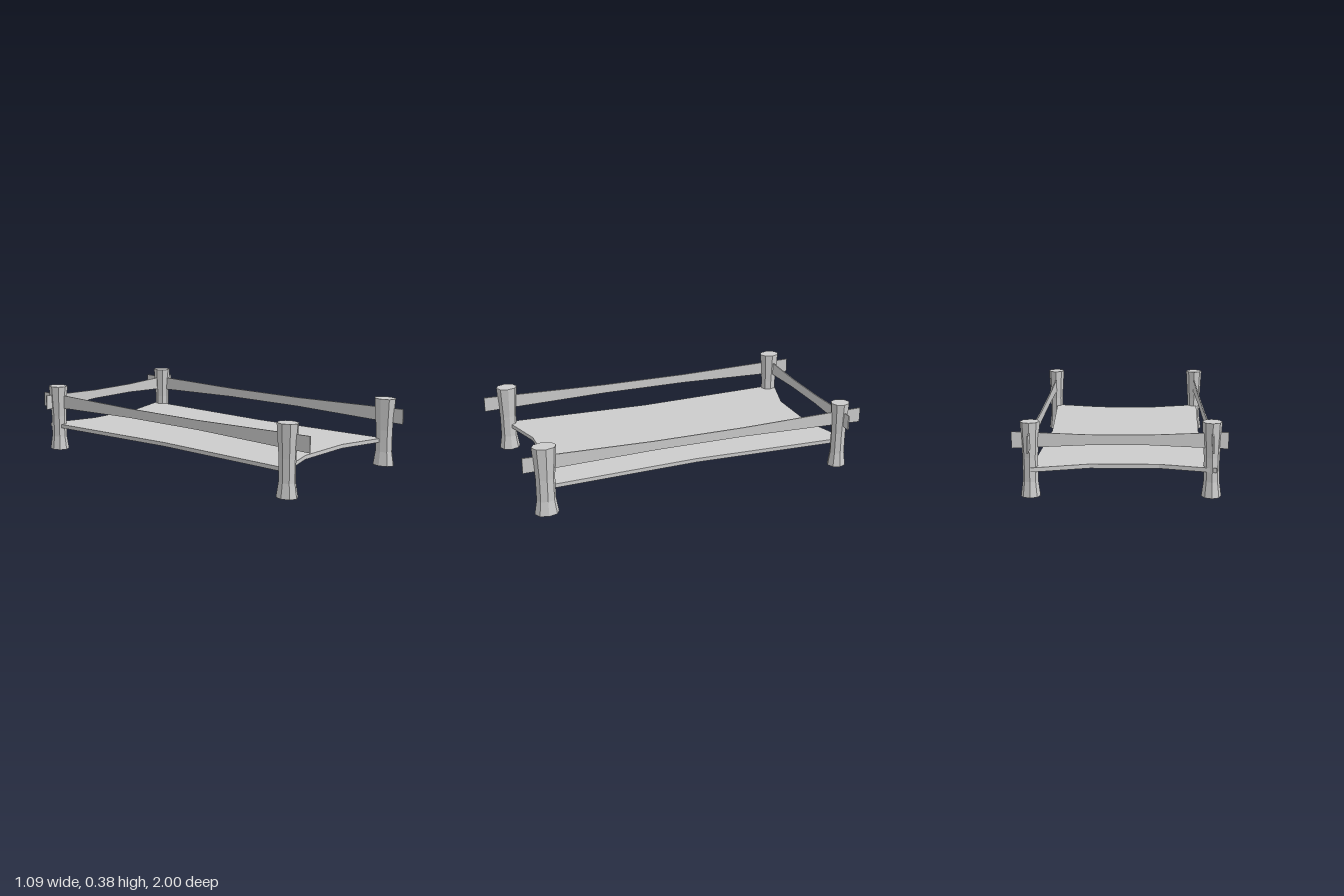
import * as THREE from 'three';

const material = new THREE.MeshStandardMaterial({ color: 0xcccccc, flatShading: true });

function addMesh(parent, name, geometry) {
  const mesh = new THREE.Mesh(geometry, material);
  mesh.name = name;
  parent.add(mesh);
  return mesh;
}

// Eight-sided post, pinched at the waist; rx and rz are its half widths
function addPost(parent, name, x, z, rx, rz) {
  const profile = [[0, 0], [1, 0], [0.79, 0.08], [0.79, 0.205], [1, 0.385], [0, 0.385]]
    .map(([r, y]) => new THREE.Vector2(r, y));
  const geometry = new THREE.LatheGeometry(profile, 8);
  geometry.scale(rx, 1, rz);
  addMesh(parent, name, geometry).position.set(x, 0, z);
}

// Thin plank along x from a to b, narrowing to a straight middle
function railGeometry(a, b, midA, midB) {
  const thickness = 0.007;
  const shape = new THREE.Shape([
    [a, 0.248], [midA, 0.266], [midB, 0.266], [b, 0.248],
    [b, 0.334], [midB, 0.319], [midA, 0.319], [a, 0.334],
  ].map(([x, y]) => new THREE.Vector2(x, y)));
  const geometry = new THREE.ExtrudeGeometry(shape, { depth: thickness, bevelEnabled: false });
  return geometry.translate(0, 0, -thickness / 2);
}

export function createModel() {
  const bed = new THREE.Group();
  bed.name = 'bed';

  // Corner posts
  addPost(bed, 'backRightPost', -0.465, -0.862, 0.051, 0.061);
  addPost(bed, 'backLeftPost', 0.452, -0.867, 0.05, 0.055);
  addPost(bed, 'frontRightPost', -0.465, 0.863, 0.051, 0.061);
  addPost(bed, 'frontLeftPost', 0.452, 0.867, 0.05, 0.067);

  // Rails at the back and both sides, passing through the posts
  addMesh(bed, 'backRail', railGeometry(-0.547, 0.545, -0.15, 0.15)).position.z = -0.876;
  for (const [name, x, back, front] of [
    ['rightRail', -0.464, -0.99, 1.0],
    ['leftRail', 0.452, -1.0, 0.985],
  ]) {
    const rail = addMesh(bed, name, railGeometry(-front, -back, -0.26, 0.26));
    rail.rotation.y = Math.PI / 2;
    rail.position.x = x;
  }

  // Stretched sheet with drawn-in edges, outline as x and z
  const outline = new THREE.Shape([
    [-0.487, -0.915], [-0.2, -0.827], [0.155, -0.827], [0.447, -0.915],
    [0.412, 0], [0.447, 0.864],
    [0.155, 0.78], [-0.195, 0.78], [-0.483, 0.868], [-0.447, 0],
  ].map(([x, z]) => new THREE.Vector2(x, z)));
  const sheet = new THREE.ExtrudeGeometry(outline, { depth: 0.022, bevelEnabled: false });
  sheet.rotateX(Math.PI / 2);
  addMesh(bed, 'sheet', sheet).position.y = 0.155;

  return bed;
}
